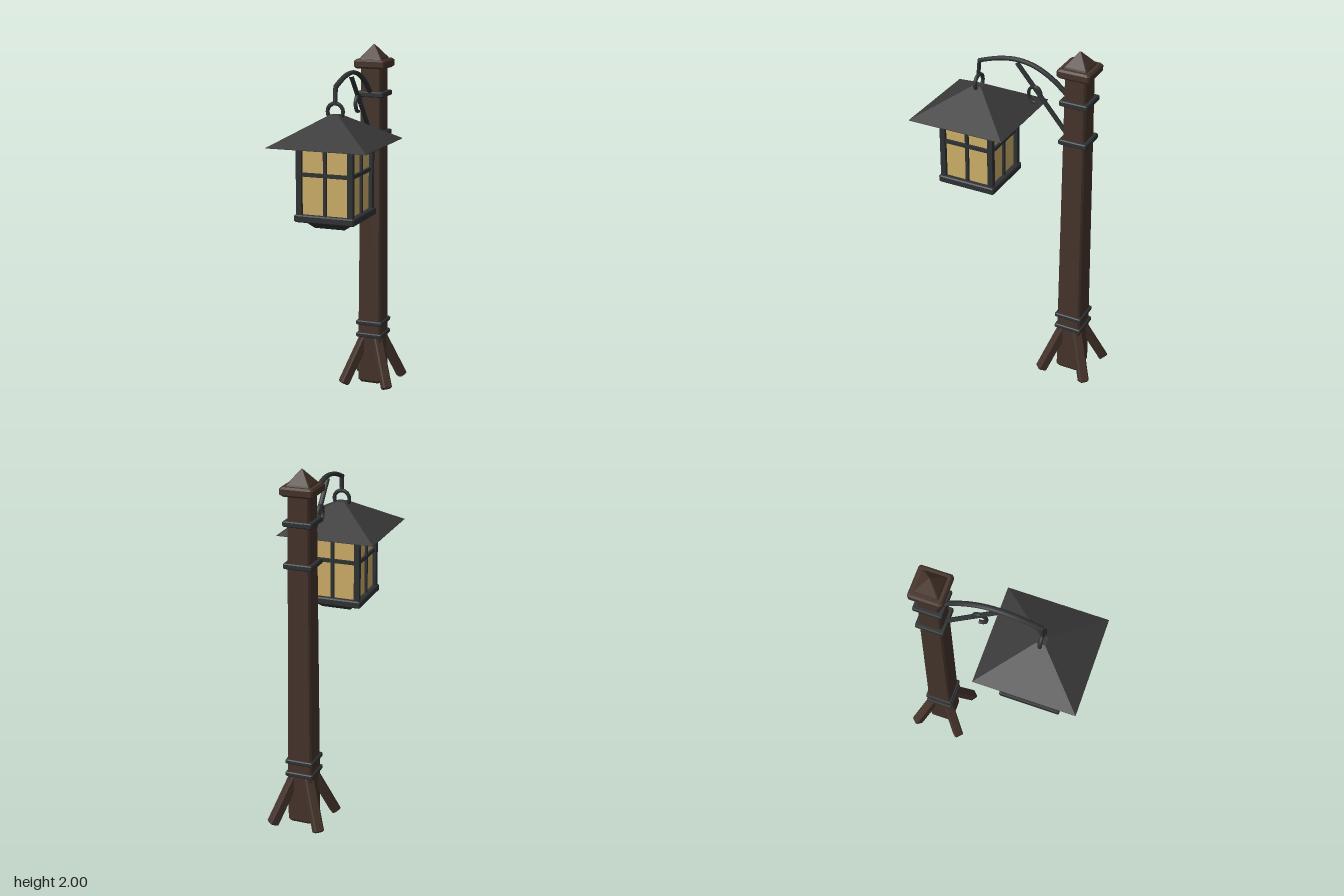
import * as THREE from 'three';

const flat = (name, color) => {
  const m = new THREE.MeshStandardMaterial({ color });
  m.name = name;
  return m;
};

// Solid made of stacked chamfered squares: sections are [half width, y]
function stack(sections, bevel = 0) {
  const pos = [];
  const rings = sections.map(([h, y]) => {
    const b = Math.max(0, Math.min(bevel, h * 0.5)), k = h - b;
    return [[h, k], [k, h], [-k, h], [-h, k], [-h, -k], [-k, -h], [k, -h], [h, -k]]
      .map(([x, z]) => [x, y, z]);
  });
  const tri = (a, b, c) => pos.push(...a, ...b, ...c);
  for (let r = 0; r < rings.length - 1; r++) {
    const lo = rings[r], hi = rings[r + 1];
    for (let i = 0; i < 8; i++) {
      const j = (i + 1) % 8;
      if (bevel === 0 && i % 2 === 0) continue;
      tri(lo[i], hi[i], hi[j]);
      tri(lo[i], hi[j], lo[j]);
    }
  }
  const first = rings[0], last = rings[rings.length - 1];
  for (let i = 1; i < 7; i++) {
    tri(first[0], first[i], first[i + 1]);
    tri(last[0], last[i + 1], last[i]);
  }
  const g = new THREE.BufferGeometry();
  g.setAttribute('position', new THREE.Float32BufferAttribute(pos, 3));
  g.computeVertexNormals();
  return g;
}

// Slab with softened edges
const slab = (half, y0, y1, b) =>
  stack([[half - b, y0], [half, y0 + b], [half, y1 - b], [half - b, y1]], b);

export function createModel() {
  const wood = flat('dark wood', 0x45342b);
  const iron = flat('black iron', 0x2f3234);
  const roofMetal = flat('roof metal', 0x3a3a3a);
  const glass = flat('amber glass', 0xcfb068);

  const model = new THREE.Group();
  const add = (parent, name, geometry, material) => {
    const mesh = new THREE.Mesh(geometry, material);
    mesh.name = name;
    parent.add(mesh);
    return mesh;
  };
  const group = (name, z) => {
    const g = new THREE.Group();
    g.name = name;
    g.position.z = z;
    model.add(g);
    return g;
  };

  // Wooden post with cap
  const post = group('post', -0.35);
  add(post, 'shaft', stack([[0.06, 0.01], [0.07, 0.025], [0.07, 0.3], [0.06, 1.88]], 0.01), wood);
  add(post, 'capPlate', slab(0.092, 1.87, 1.92, 0.01), wood);
  add(post, 'capPyramid', stack([[0.068, 1.915], [0.062, 1.928], [0.003, 2.0]], 0.005), wood);

  // Iron bands
  for (const [y, t] of [[1.725, 0.03], [1.5, 0.03], [0.38, 0.026], [0.305, 0.026]])
    add(post, 'band', slab(0.08, y - t / 2, y + t / 2, 0.005), iron);

  // Diagonal struts at the foot
  const up = new THREE.Vector3(0, 1, 0);
  for (const sx of [-1, 1]) for (const sz of [-1, 1]) {
    const foot = new THREE.Vector3(sx * 0.136, 0.013, sz * 0.136);
    const head = new THREE.Vector3(sx * 0.035, 0.29, sz * 0.035);
    const dir = head.clone().sub(foot);
    const strut = new THREE.Group();
    strut.name = 'footStrut';
    strut.position.copy(foot);
    strut.quaternion.setFromUnitVectors(up, dir.clone().normalize());
    const beam = add(strut, 'strutBeam', slab(0.027, 0, dir.length(), 0.007), wood);
    beam.rotation.y = Math.PI / 4;
    post.add(strut);
  }

  // Curved arm, brace and scroll, laid out as [z, y]
  const bracket = group('bracket', 0);
  const rod = (name, points, radius, steps) => {
    const curve = new THREE.CatmullRomCurve3(points.map(([z, y]) => new THREE.Vector3(0, y, z)));
    const mesh = add(bracket, name, new THREE.TubeGeometry(curve, steps, radius, 8), iron);
    mesh.scale.x = 1.3;
  };
  rod('arm', [[-0.3, 1.725], [-0.2, 1.808], [-0.1, 1.86], [0, 1.878], [0.1, 1.868],
    [0.19, 1.842], [0.235, 1.825]], 0.012, 24);
  rod('armDrop', [[0.231, 1.835], [0.24, 1.735]], 0.01, 1);
  rod('brace', [[-0.3, 1.495], [0.01, 1.862]], 0.011, 1);
  const scroll = [];
  for (let i = 0; i <= 12; i++) {
    const a = -0.3 + i * 0.43;
    scroll.push([-0.095 - 0.036 * Math.cos(a), 1.7 + 0.045 * Math.sin(a)]);
  }
  rod('scroll', scroll, 0.009, 24);

  // Hanging lantern
  const lantern = group('lantern', 0.237);
  add(lantern, 'ring', new THREE.TorusGeometry(0.044, 0.011, 8, 16), iron).position.y = 1.698;
  add(lantern, 'roof', stack([[0.277, 1.53], [0.277, 1.533], [0.025, 1.682]]), roofMetal);
  add(lantern, 'glassBox', stack([[0.14, 1.15], [0.14, 1.53]]), glass);
  add(lantern, 'baseTray', slab(0.17, 1.125, 1.165, 0.006), iron);
  add(lantern, 'underside', stack([[0.085, 1.083], [0.13, 1.127]]), iron);

  // Frame: corner posts, mullions and rails on all four sides
  const bar = (side, name, w, h, d, x, y) => {
    const m = add(side, name, new THREE.BoxGeometry(w, h, d), iron);
    m.position.set(x, y, 0.145);
  };
  for (let i = 0; i < 4; i++) {
    const side = new THREE.Group();
    side.name = 'frameSide';
    side.rotation.y = i * Math.PI / 2;
    lantern.add(side);
    bar(side, 'cornerPost', 0.03, 0.38, 0.03, 0.145, 1.345);
    bar(side, 'mullion', 0.018, 0.37, 0.016, 0, 1.345);
    bar(side, 'crossRail', 0.27, 0.02, 0.018, 0, 1.38);
    bar(side, 'topRail', 0.27, 0.012, 0.026, 0, 1.525);
  }
  return model;
}
